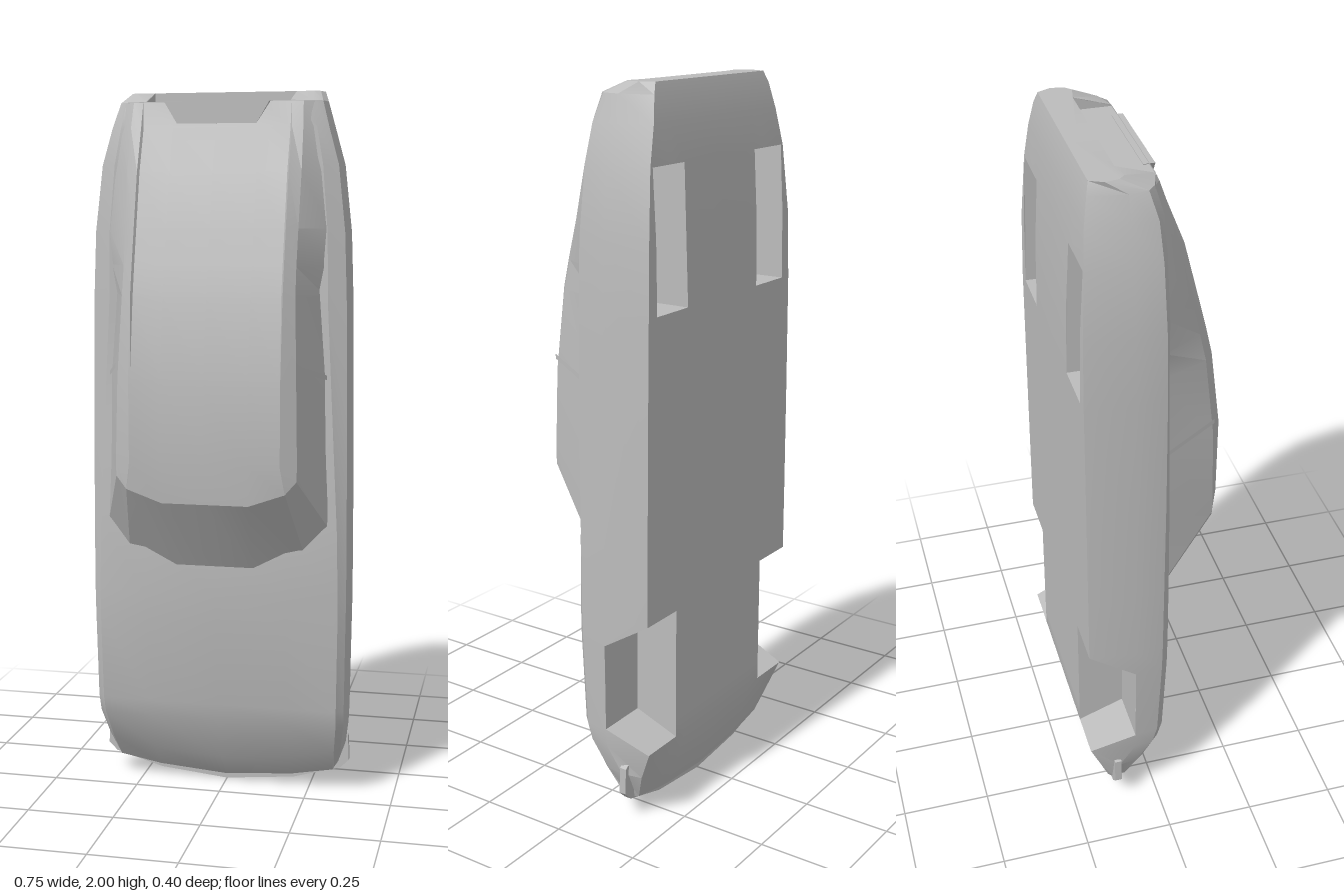
import * as THREE from 'three';
import { toCreasedNormals } from 'three/addons/utils/BufferGeometryUtils.js';

const paint = new THREE.MeshStandardMaterial({ color: 0xbcbcbc, side: THREE.DoubleSide });
paint.name = 'greyPaint';

// Mesh from a list of polygons, each a loop of [x, y, z] corners
function polyMesh(name, polys, crease = 0.4) {
  const pos = [];
  for (const p of polys) {
    for (let i = 1; i < p.length - 1; i++) pos.push(...p[0], ...p[i], ...p[i + 1]);
  }
  const g = new THREE.BufferGeometry();
  g.setAttribute('position', new THREE.Float32BufferAttribute(pos, 3));
  const m = new THREE.Mesh(toCreasedNormals(g, crease), paint);
  m.name = name;
  return m;
}

const flip = ([x, y, z]) => [-x, y, z];
const mirrored = (polys) => [...polys, ...polys.map((p) => p.map(flip).reverse())];

// Lower body, nose to tail: y, half width, floor z, shoulder z, deck inset, deck z
const stations = [
  [0.02, 0.33, -0.138, -0.11, 0.01, -0.095],
  [0.09, 0.355, -0.165, -0.06, 0.025, -0.04],
  [0.22, 0.368, -0.2, -0.015, 0.028, 0.006],
  [0.27, 0.37, -0.2, -0.002, 0.028, 0.018],
  [0.52, 0.373, -0.2, 0.008, 0.028, 0.05],
  [0.6, 0.374, -0.2, 0.009, 0.029, 0.057],
  [0.8, 0.373, -0.2, 0.01, 0.033, 0.068],
  [1.1, 0.37, -0.2, 0.012, 0.045, 0.025],
  [1.43, 0.365, -0.2, 0.012, 0.057, 0.02],
  [1.62, 0.358, -0.197, 0.01, 0.053, 0.02],
  [1.8, 0.338, -0.187, 0.005, 0.048, 0.02],
  [1.9, 0.31, -0.178, 0, 0.038, 0.02],
  [1.97, 0.29, -0.166, -0.02, 0.03, 0.02],
  [2, 0.274, -0.158, -0.085, 0.024, -0.08],
];

// Half-section from the floor's centre line round to the deck's centre line
function section([y, w, floor, shoulder, inset, deck]) {
  const isEnd = y < 0.2 || y === 2;
  const bow = y < 0.2 ? 0.05 : 0;
  const widest = isEnd ? (floor + shoulder) / 2 : -0.07;
  const edge = Math.min(shoulder + 0.02, deck + 0.01);
  return [[0, floor], [0.17, floor], [0.22, floor], [Math.min(0.31, w - 0.024), floor],
    [w - 0.018, floor], [w, widest], [w - 0.008, shoulder], [w - inset, edge], [0.2, deck], [0, deck]]
    .map(([x, z]) => [x, y + bow * (x / 0.36) ** 2, z]);
}

function lowerBody() {
  const rows = stations.map(section);
  const polys = [];
  for (let i = 0; i < rows.length - 1; i++) {
    for (let j = 0; j < 9; j++) {
      const a = rows[i][j], b = rows[i + 1][j], c = rows[i + 1][j + 1], d = rows[i][j + 1];
      const frontArch = i >= 2 && i <= 4;
      if (frontArch && (j === 2 || j === 3)) continue; // front wheel opening in the floor
      if ((i === 8 || i === 9) && (j === 1 || j === 2)) continue; // rear wheel opening
      if (i === 12 && j === 8) continue; // tail slot
      if (frontArch && j === 4) { // arch cut in the side
        if (i === 2) polys.push([a, c, d]);
        if (i === 4) polys.push([b, c, d]);
        continue;
      }
      polys.push([a, b, c, d]);
    }
  }
  // Nose and tail end caps
  polys.push([[0, 0.02, -0.12], ...rows[0]]);
  polys.push([[0, 2, -0.12], ...rows.at(-1).reverse()]);
  return polyMesh('lowerBody', mirrored(polys));
}

// Wheel housing: ends, roof and inner wall; a closed one also has an outer wall
function wheelHousing(name, inner, outerLow, outerTop, [y0, y1, y2, y3], rearZ, closed) {
  const wall = (low, top) => [[low, y0, -0.2], [top, y1, -0.07], [top, y2, -0.07], [low, y3, rearZ]];
  const a = wall(inner, inner), b = wall(outerLow, outerTop);
  const polys = [a];
  for (let i = 0; i < 3; i++) polys.push([a[i], b[i], b[i + 1], a[i + 1]]);
  if (closed) polys.push(b.reverse());
  return polyMesh(name, mirrored(polys));
}

// Cabin behind the windscreen: y, roof z, edge x, edge z, sill x, sill z
const cabinStations = [
  [1, 0.2, 0.251, 0.178, 0.313, 0.015],
  [1.23, 0.2, 0.246, 0.172, 0.31, 0.01],
  [1.45, 0.173, 0.238, 0.148, 0.294, 0.006],
  [1.53, 0.155, 0.237, 0.13, 0.302, 0.02],
  [1.63, 0.13, 0.238, 0.108, 0.31, 0.02],
  [1.78, 0.092, 0.24, 0.075, 0.295, 0.015],
  [1.9, 0.045, 0.238, 0.04, 0.275, 0.01],
  [1.968, 0.02, 0.235, 0.018, 0.262, 0],
];

function cabin() {
  // Windscreen foot and head, from the centre line to the corner
  const corner = [0.315, 0.81, 0.032];
  const foot = [0.25, 0.74, 0.05], head = [0.22, 0.925, 0.187];
  const rows = [
    [[0, 0.69, 0.062], [0.11, 0.69, 0.062], foot, foot, corner, corner],
    [[0, 0.89, 0.19], [0.12, 0.89, 0.19], head, head, [0.25, 0.96, 0.178], corner],
  ];
  for (const [y, roof, edgeX, edgeZ, sillX, sillZ] of cabinStations) {
    const sunk = roof - (y > 1.3 && y < 1.95 ? 0.008 : 0); // rear window lies below its rails
    rows.push([[0, y, sunk], [0.12, y, sunk], [0.203, y, sunk], [0.208, y, roof],
      [edgeX, y, edgeZ], [sillX, y, sillZ]]);
  }
  const polys = [];
  for (let i = 0; i < rows.length - 1; i++) {
    for (let j = 0; j < 5; j++) {
      polys.push([rows[i][j + 1], rows[i + 1][j + 1], rows[i + 1][j], rows[i][j]]);
    }
  }
  return polyMesh('cabin', mirrored(polys), 0.3);
}

// Symmetric lip extruded from one half of its outline
function lip(name, half, z, depth) {
  const outline = [...half, ...half.map(([x, y]) => [-x, y]).reverse()];
  const shape = new THREE.Shape(outline.map(([x, y]) => new THREE.Vector2(x, y)));
  const g = new THREE.ExtrudeGeometry(shape, { depth, bevelEnabled: false });
  const m = new THREE.Mesh(g.translate(0, 0, z), paint);
  m.name = name;
  return m;
}

export function createModel() {
  const car = new THREE.Group();
  car.name = 'car';
  car.add(lowerBody(), cabin());
  car.add(wheelHousing('frontWheelHousings', 0.22, 0.353, 0.371, [0.22, 0.27, 0.52, 0.6], -0.2, false));
  car.add(wheelHousing('rearWheelHousings', 0.17, 0.31, 0.31, [1.43, 1.43, 1.8, 1.8], -0.187, true));

  // Thin pillar across each side window
  car.add(polyMesh('windowPillars', mirrored([
    [[0.25, 1.258, 0.174], [0.315, 1.215, 0.013], [0.315, 1.228, 0.013], [0.25, 1.271, 0.174]],
  ])));

  // Wedge-shaped slot in the tail
  const slotFront = [0.2, 1.966, 0.02], slotBack = [0.2, 1.966, -0.08], slotRim = [0.2, 2, -0.08];
  car.add(polyMesh('tailSlot', [
    [flip(slotFront), slotFront, slotBack, flip(slotBack)],
    [flip(slotBack), slotBack, slotRim, flip(slotRim)],
    ...mirrored([[slotFront, slotRim, slotBack]]),
  ]));

  car.add(lip('tailLip', [[0.11, 1.91], [0.145, 1.968]], 0.005, 0.03));
  car.add(lip('noseLip', [[0, 0], [0.2, 0.02], [0.34, 0.06], [0.365, 0.085], [0.362, 0.16], [0.3, 0.2]], -0.13, 0.02));
  return car;
}
